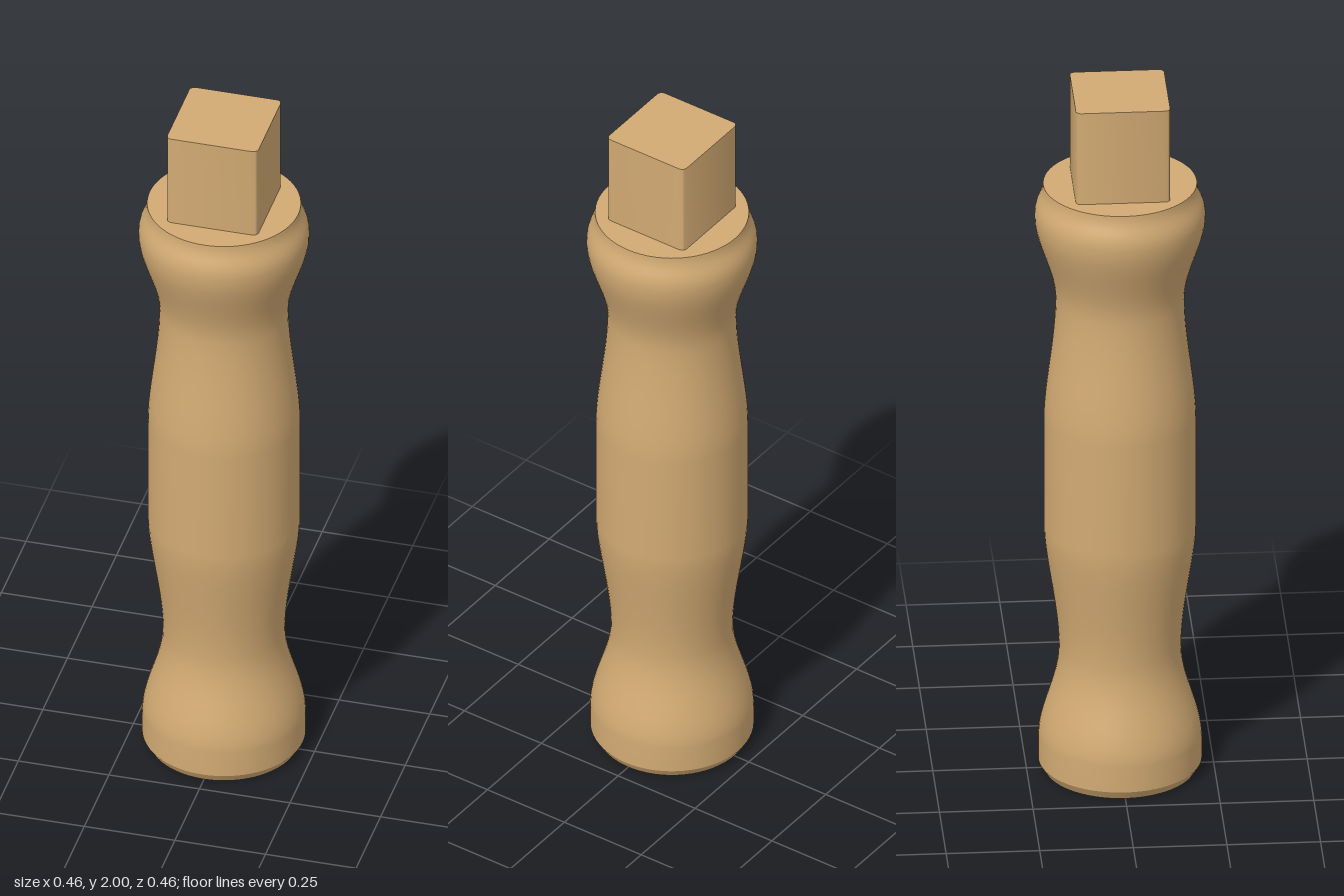
import * as THREE from 'three';
import { toCreasedNormals } from 'three/addons/utils/BufferGeometryUtils.js';

export function createModel() {
  const model = new THREE.Group();
  model.name = 'turnedHandle';
  const wood = new THREE.MeshStandardMaterial({ color: 0xd2aa73 });
  wood.name = 'wood';
  const SEGMENTS = 64;

  const add = (name, geometry, y = 0) => {
    const mesh = new THREE.Mesh(geometry, wood);
    mesh.name = name;
    mesh.position.y = y;
    model.add(mesh);
  };

  // Turned grip: flared foot, waist, straight swell, neck and collar
  const profile = new THREE.Path();
  profile.moveTo(0.218, 0.025);
  profile.lineTo(0.218, 0.1);
  profile.bezierCurveTo(0.214, 0.18, 0.163, 0.26, 0.163, 0.36);
  profile.bezierCurveTo(0.163, 0.48, 0.203, 0.63, 0.203, 0.72);
  profile.lineTo(0.203, 1.04);
  profile.bezierCurveTo(0.203, 1.13, 0.172, 1.27, 0.172, 1.39);
  profile.bezierCurveTo(0.172, 1.48, 0.228, 1.56, 0.228, 1.635);
  profile.bezierCurveTo(0.228, 1.68, 0.207, 1.69, 0.205, 1.73);
  add('grip', new THREE.LatheGeometry(profile.getPoints(12), SEGMENTS));

  // Chamfer around the foot
  const chamfer = [new THREE.Vector2(0.203, 0), new THREE.Vector2(0.218, 0.025)];
  add('footChamfer', new THREE.LatheGeometry(chamfer, SEGMENTS));

  // Flat ends
  add('footCap', new THREE.CircleGeometry(0.203, SEGMENTS).rotateX(Math.PI / 2));
  add('collarCap', new THREE.CircleGeometry(0.205, SEGMENTS).rotateX(-Math.PI / 2), 1.73);

  // Square tenon with softly rounded upright edges
  const h = 0.126, r = 0.015, c = h - r;
  const square = new THREE.Shape();
  square.absarc(c, c, r, 0, Math.PI / 2);
  square.absarc(-c, c, r, Math.PI / 2, Math.PI);
  square.absarc(-c, -c, r, Math.PI, Math.PI * 1.5);
  square.absarc(c, -c, r, Math.PI * 1.5, Math.PI * 2);
  square.closePath();
  const tenon = new THREE.ExtrudeGeometry(square, { depth: 0.27, bevelEnabled: false, curveSegments: 4 });
  tenon.rotateX(-Math.PI / 2);
  add('tenon', toCreasedNormals(tenon, 0.6), 1.73);

  return model;
}
